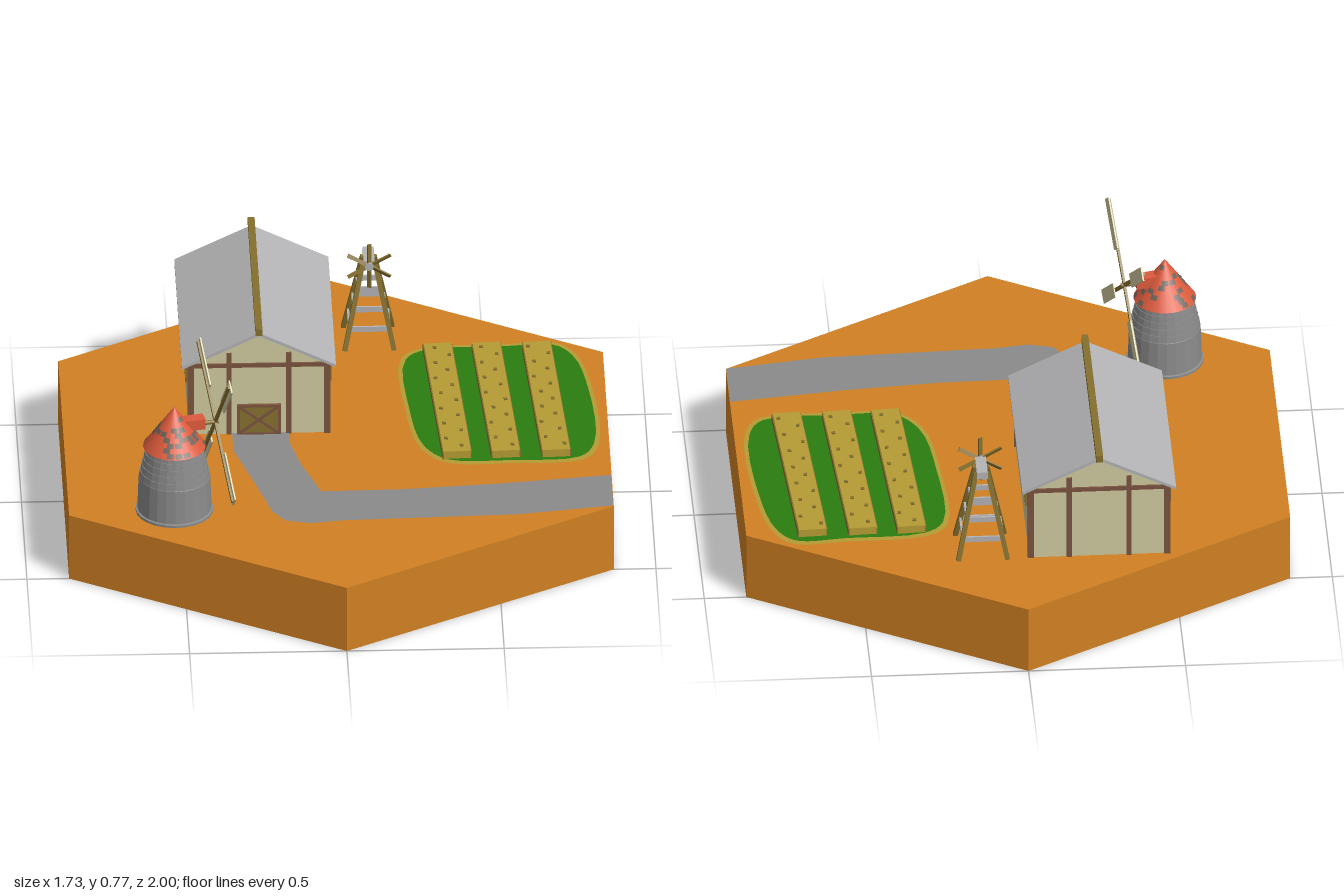
import * as THREE from 'three';
import { mergeGeometries } from 'three/addons/utils/BufferGeometryUtils.js';

const GROUND = 0.23;

function makeMaterial(name, color, extra = {}) {
  const m = new THREE.MeshStandardMaterial({ color, ...extra });
  m.name = name;
  return m;
}

export function createModel() {
  const soil = makeMaterial('soil', 0xd08022);
  const stone = makeMaterial('stone', 0x8b8b8b);
  const roofGrey = makeMaterial('roofGrey', 0xb4b4b6);
  const plaster = makeMaterial('plaster', 0xd0ca9e, { side: THREE.DoubleSide });
  const timber = makeMaterial('timber', 0x7c5540);
  const wood = makeMaterial('wood', 0x86702f);
  const straw = makeMaterial('straw', 0xb59c34);
  const grass = makeMaterial('grass', 0x2b7d10);
  const redTile = makeMaterial('redTile', 0xdc5a3c);
  const darkTile = makeMaterial('darkTile', 0x6e6258);

  let seed = 7;
  const rand = () => (seed = (seed * 16807) % 2147483647) / 2147483647;

  const group = (name, parent, x = 0, y = 0, z = 0) => {
    const g = new THREE.Group();
    g.name = name;
    g.position.set(x, y, z);
    parent.add(g);
    return g;
  };
  const add = (parent, name, geo, mat, x = 0, y = 0, z = 0) => {
    const m = new THREE.Mesh(geo, mat);
    m.name = name;
    m.position.set(x, y, z);
    parent.add(m);
    return m;
  };
  const box = (parent, name, mat, w, h, d, x, y, z) =>
    add(parent, name, new THREE.BoxGeometry(w, h, d), mat, x, y, z);
  // square beam running from a to b
  const beam = (parent, name, mat, a, b, w, d = w) => {
    const from = new THREE.Vector3(...a), to = new THREE.Vector3(...b);
    const dir = to.clone().sub(from);
    const m = box(parent, name, mat, w, dir.length(), d, 0, 0, 0);
    m.position.copy(from).add(to).multiplyScalar(0.5);
    m.quaternion.setFromUnitVectors(new THREE.Vector3(0, 1, 0), dir.normalize());
    return m;
  };
  const toShape = (pts) => new THREE.Shape(pts.map(([x, y]) => new THREE.Vector2(x, y)));
  // thin sheet lying on the ground, outlined by x, z points
  const sheet = (parent, name, mat, pts, y) => {
    const geo = new THREE.ShapeGeometry(toShape(pts.map(([x, z]) => [x, -z])));
    return add(parent, name, geo.rotateX(-Math.PI / 2), mat, 0, y, 0);
  };

  const root = new THREE.Group();
  root.name = 'farm';

  // hexagonal ground block
  const base = new THREE.CylinderGeometry(1, 1, GROUND, 6).toNonIndexed();
  base.computeVertexNormals();
  add(root, 'groundBlock', base, soil, 0, GROUND / 2, 0);

  // bent path
  sheet(root, 'path', stone, [
    [-0.33, -0.02], [-0.33, 0.1], [-0.27, 0.31], [-0.22, 0.5], [-0.18, 0.56], [-0.1, 0.58],
    [0, 0.565], [0.56, 0.545], [0.865, 0.498], [0.865, 0.3], [0.5, 0.345], [0.2, 0.37],
    [-0.06, 0.375], [-0.12, 0.19], [-0.15, 0.05], [-0.15, -0.02]], GROUND + 0.002);

  // field with rim, raised beds and sprouts
  const field = group('field', root);
  const outline = new THREE.CatmullRomCurve3([
    [0.235, -0.47], [0.3, -0.53], [0.55, -0.545], [0.71, -0.55], [0.77, -0.48], [0.815, -0.25],
    [0.82, 0.1], [0.77, 0.185], [0.55, 0.2], [0.35, 0.19], [0.275, 0.1], [0.235, -0.15],
  ].map(([x, z]) => new THREE.Vector3(x, 0, z)), true).getPoints(48).slice(0, -1);
  const scaled = (s) => outline.map((p) => [0.527 + (p.x - 0.527) * s, -0.175 + (p.z + 0.175) * s]);
  sheet(field, 'fieldRim', straw, scaled(1.035), GROUND + 0.002);
  sheet(field, 'fieldGrass', grass, scaled(0.99), GROUND + 0.004);
  [0.36, 0.515, 0.675].forEach((x, i) => {
    const bed = group('bed' + (i + 1), field, x, GROUND, -0.172);
    bed.rotation.y = 0.055;
    box(bed, 'bedBlock', straw, 0.088, 0.03, 0.705, 0, 0.015, 0);
    for (const s of [-1, 1]) box(bed, 'bedBoard', wood, 0.004, 0.026, 0.705, s * 0.045, 0.013, 0);
    for (let k = 0; k < 14; k++) {
      box(bed, 'sprout', wood, 0.011, 0.005, 0.011,
        (k % 2 ? 1 : -1) * (0.012 + rand() * 0.02), 0.032, -0.32 + k * 0.049);
    }
  });

  // barn
  const barn = group('barn', root, -0.245, GROUND, -0.35);
  const halfW = 0.222, halfL = 0.338, eave = 0.25, ridge = 0.357;
  const prism = (pts, len) => new THREE.ExtrudeGeometry(toShape(pts),
    { depth: len, bevelEnabled: false }).translate(0, 0, -len / 2);
  add(barn, 'barnWalls', prism([[-halfW, 0], [halfW, 0], [halfW, eave], [0, ridge], [-halfW, eave]],
    halfL * 2), plaster);
  add(barn, 'barnRoof', prism([[-0.245, 0.242], [0, 0.36], [0.245, 0.242], [0.245, 0.252],
    [0, 0.372], [-0.245, 0.252]], 0.7), roofGrey);
  box(barn, 'ridgeBeam', wood, 0.022, 0.024, 0.73, 0, 0.378, -0.005);
  for (const sz of [-1, 1]) {
    for (const sx of [-1, 1]) {
      box(barn, 'cornerPost', timber, 0.02, eave - 0.003, 0.02, sx * 0.217, eave / 2 - 0.002, sz * 0.333);
      box(barn, 'gablePost', timber, 0.016, 0.295, 0.012, sx * 0.095, 0.1475, sz * halfL);
    }
    box(barn, 'gableBeam', timber, 0.444, 0.014, 0.012, 0, 0.25, sz * halfL);
  }
  // braced door
  const door = group('door', barn, 0, 0, halfL);
  box(door, 'doorPanel', wood, 0.14, 0.108, 0.01, 0, 0.054, 0.003);
  for (const s of [-1, 1]) {
    box(door, 'doorSide', timber, 0.01, 0.108, 0.008, s * 0.065, 0.054, 0.007);
    box(door, 'doorRail', timber, 0.14, 0.009, 0.008, 0, 0.054 + s * 0.05, 0.007);
    beam(door, 'doorBrace', timber, [-0.062, 0.054 - s * 0.048, 0.007], [0.062, 0.054 + s * 0.048, 0.007], 0.009);
  }
  // four framed windows on each long side
  for (const s of [-1, 1]) {
    for (let i = 0; i < 4; i++) {
      const win = group('window', barn, s * halfW, 0.19, 0.258 - i * 0.17);
      box(win, 'windowPane', darkTile, 0.008, 0.05, 0.07, 0, 0, 0);
      for (const e of [-1, 1]) {
        box(win, 'windowRail', wood, 0.02, 0.011, 0.076, 0, e * 0.021, 0);
        box(win, 'windowJamb', wood, 0.02, 0.05, 0.011, 0, 0, e * 0.032);
      }
    }
  }

  // stone windmill
  const mill = group('windmill', root, -0.53, GROUND, 0.47);
  const profile = [[0.124, 0], [0.124, 0.008], [0.118, 0.01], [0.114, 0.125]];
  for (let i = 0; i < 5; i++) {
    profile.push([0.113 - i * 0.005, 0.127 + i * 0.022], [0.11 - i * 0.005, 0.149 + i * 0.022]);
  }
  const tower = new THREE.LatheGeometry(profile.map(([r, y]) => new THREE.Vector2(r, y)), 24).toNonIndexed();
  tower.computeVertexNormals();
  add(mill, 'millTower', tower, stone);
  const capR = 0.1, capH = 0.142, capY = 0.232;
  add(mill, 'millCap', new THREE.ConeGeometry(capR, capH, 24), redTile, 0, capY + capH / 2, 0);
  // scattered dark tiles on the cap
  const tiles = [];
  for (let row = 0; row < 9; row++) {
    const h = 0.0135, y0 = 0.004 + row * h;
    const radius = (y) => capR * (1 - y / capH) + 0.0015;
    const count = Math.max(6, 22 - row * 2);
    for (let c = 0; c < count; c++) {
      if (rand() > 0.3) continue;
      const step = (Math.PI * 2) / count;
      tiles.push(new THREE.CylinderGeometry(radius(y0 + h), radius(y0), h, 2, 1, true,
        (c + (row % 2) / 2) * step, step * 0.85).translate(0, capY + y0 + h / 2, 0));
    }
  }
  add(mill, 'darkTiles', mergeGeometries(tiles), darkTile);
  // nose and sails
  const head = group('millHead', mill, 0, 0.3, 0);
  head.rotation.y = 0.22;
  box(head, 'millNose', redTile, 0.085, 0.036, 0.04, 0.055, 0.006, 0);
  const axle = add(head, 'axle', new THREE.CylinderGeometry(0.007, 0.007, 0.06, 8), wood, 0.115, 0, 0);
  axle.rotation.z = Math.PI / 2;
  const sails = group('sails', head, 0.134, 0, 0);
  for (let i = 0; i < 4; i++) {
    const sail = group('sail', sails);
    sail.rotation.x = 0.67 + (i * Math.PI) / 2;
    box(sail, 'sailArm', wood, 0.008, 0.28, 0.011, 0, 0.14, 0);
    box(sail, 'sailPanel', plaster, 0.005, 0.165, 0.045, 0.005, 0.2, 0);
  }

  // wooden wind pump
  const pump = group('windPump', root, 0.125, GROUND, -0.615);
  const spread = (y) => 0.078 - y * 0.205;
  for (const sx of [-1, 1]) {
    for (const sz of [-1, 1]) {
      beam(pump, 'pumpLeg', wood, [sx * spread(0), 0, sz * spread(0)],
        [sx * spread(0.29), 0.29, sz * spread(0.29)], 0.015);
    }
  }
  for (const y of [0.07, 0.135, 0.2]) {
    const s = spread(y);
    for (const e of [-1, 1]) {
      box(pump, 'pumpRail', roofGrey, s * 2, 0.018, 0.007, 0, y, e * s);
      box(pump, 'pumpRail', roofGrey, 0.007, 0.018, s * 2, e * s, y, 0);
    }
  }
  box(pump, 'pumpHead', roofGrey, 0.035, 0.025, 0.095, 0, 0.295, 0);
  // six-vane wheel
  const wheel = group('pumpWheel', pump, 0, 0.295, 0.056);
  const hub = add(wheel, 'wheelHub', new THREE.CylinderGeometry(0.014, 0.014, 0.016, 10), roofGrey);
  hub.rotation.x = Math.PI / 2;
  for (let i = 0; i < 6; i++) {
    const arm = group('vane', wheel);
    arm.rotation.z = (i * Math.PI) / 3;
    const vane = box(arm, 'vaneBlade', wood, 0.013, 0.07, 0.005, 0, 0.043, 0);
    vane.rotation.y = 0.5;
  }
  return root;
}
